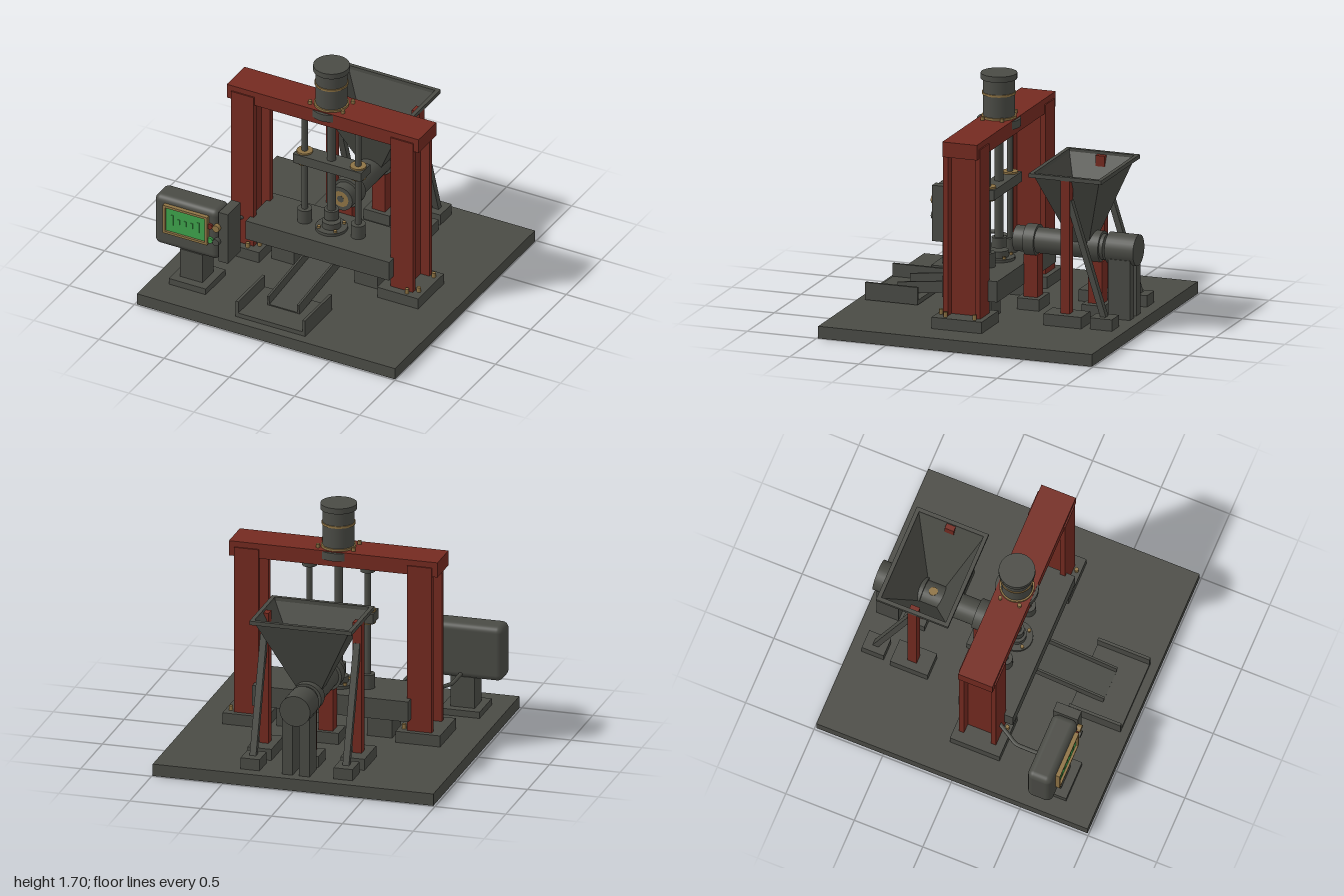
import * as THREE from 'three';
import { RoundedBoxGeometry } from 'three/addons/geometries/RoundedBoxGeometry.js';

const mat = (name, color, side = THREE.FrontSide) =>
  Object.assign(new THREE.MeshStandardMaterial({ color, side }), { name });

export function createModel() {
  const steel = mat('steel grey', 0x4a4b45);
  steel.side = THREE.DoubleSide;
  const red = mat('oxide red', 0x742a20);
  const brass = mat('brass', 0x8e7344);
  const green = mat('screen green', 0x3da04a);

  const root = new THREE.Group();
  root.name = 'pressMachine';
  const CX = 0.006; // centre line of the machine
  const PZ = 0.065; // depth of the press axis

  const add = (name, geo, m, x = 0, y = 0, z = 0) => {
    const mesh = new THREE.Mesh(geo, m);
    mesh.name = name;
    mesh.position.set(x, y, z);
    root.add(mesh);
    return mesh;
  };
  // Box given by its limits
  const box = (name, m, x0, x1, y0, y1, z0, z1) =>
    add(name, new THREE.BoxGeometry(x1 - x0, y1 - y0, z1 - z0), m, (x0 + x1) / 2, (y0 + y1) / 2, (z0 + z1) / 2);
  // Upright cylinder from y0 to y1
  const post = (name, m, r, x, y0, y1, z, sides = 32) =>
    add(name, new THREE.CylinderGeometry(r, r, y1 - y0, sides), m, x, (y0 + y1) / 2, z);
  // Cylinder lying along z
  const roll = (name, m, r, x, y, z0, z1, sides = 32) =>
    add(name, new THREE.CylinderGeometry(r, r, z1 - z0, sides).rotateX(Math.PI / 2), m, x, y, (z0 + z1) / 2);
  // Rectangular frame, extruded along z
  const frameGeo = (w, h, t, depth) => {
    const rect = (S, a, b) => new S([[-a, -b], [a, -b], [a, b], [-a, b]].map(p => new THREE.Vector2(...p)));
    const s = rect(THREE.Shape, w / 2, h / 2);
    s.holes.push(rect(THREE.Path, w / 2 - t, h / 2 - t));
    return new THREE.ExtrudeGeometry(s, { depth, bevelEnabled: false });
  };

  box('basePlate', steel, -0.985, 0.995, 0, 0.085, -0.99, 0.99);

  // Portal frame: two I-section columns and a cross beam
  for (const s of [-1, 1]) {
    const x = CX + s * 0.611;
    box('columnFoot', steel, x - 0.157, x + 0.157, 0.085, 0.165, -0.107, 0.255);
    box('columnFrontFlange', red, x - 0.087, x + 0.087, 0.165, 1.35, 0.163, 0.2);
    box('columnBackFlange', red, x - 0.087, x + 0.087, 0.165, 1.35, -0.07, -0.033);
    box('columnWeb', red, x - 0.02, x + 0.02, 0.165, 1.3, -0.033, 0.163);
    for (const [dx, z] of [[0.055, 0.225], [0.117, 0.17], [0.117, -0.04]])
      post('footBolt', brass, 0.015, x + dx, 0.165, 0.2, z, 6);
  }
  box('crossBeam', red, -0.73, 0.742, 1.285, 1.39, -0.06, 0.19);

  // Press motor
  post('motorFlange', steel, 0.148, CX, 1.33, 1.385, PZ);
  post('motorBody', steel, 0.108, CX, 1.385, 1.66, PZ);
  post('motorCap', steel, 0.124, CX, 1.66, 1.7, PZ);
  post('motorLowerRing', brass, 0.119, CX, 1.39, 1.405, PZ);
  post('motorUpperRing', brass, 0.115, CX, 1.553, 1.568, PZ);
  for (const sx of [-1, 1]) for (const sz of [-1, 1])
    post('motorBolt', brass, 0.014, CX + sx * 0.126, 1.39, 1.415, PZ + sz * 0.07, 8);

  // Ram, guide rods and crosshead
  post('ramNut', brass, 0.06, CX, 1.265, 1.285, PZ);
  post('ramRod', steel, 0.03, CX, 0.55, 1.28, PZ);
  box('crosshead', steel, CX - 0.262, CX + 0.262, 0.875, 0.945, PZ - 0.065, PZ + 0.065);
  for (const s of [-1, 1]) {
    const x = CX + s * 0.205;
    post('guideRod', steel, 0.021, x, 0.395, 1.285, PZ);
    post('guideTopCollar', steel, 0.05, x, 1.23, 1.285, PZ);
    post('guideBottomCollar', steel, 0.05, x, 0.395, 0.495, PZ);
    post('bushingTop', brass, 0.055, x, 0.945, 0.958, PZ);
    post('bushingBottom', brass, 0.055, x, 0.862, 0.875, PZ);
  }
  post('punch', steel, 0.05, CX, 0.48, 0.55, PZ);

  // Press table and die
  box('table', steel, -0.545, 0.555, 0.25, 0.395, -0.135, 0.263);
  for (const s of [-1, 1]) {
    const x = CX + s * 0.32;
    box('tableLeg', steel, x - 0.088, x + 0.088, 0.085, 0.25, PZ - 0.1, PZ + 0.1);
  }
  post('dieBase', steel, 0.11, CX, 0.395, 0.415, PZ);
  post('dieRing', steel, 0.065, CX, 0.415, 0.46, PZ);
  for (let i = 0; i < 4; i++) {
    const a = Math.PI / 4 + i * Math.PI / 2;
    post('dieBolt', brass, 0.013, CX + Math.cos(a) * 0.09, 0.415, 0.43, PZ + Math.sin(a) * 0.09, 8);
  }

  // Discharge chute: a sloping channel
  const chute = new THREE.Group();
  chute.name = 'chute';
  for (const [w, h, x, y] of [[0.245, 0.015, 0, 0.0075], [0.015, 0.08, -0.115, 0.04], [0.015, 0.08, 0.115, 0.04]]) {
    const part = new THREE.Mesh(new THREE.BoxGeometry(w, h, 0.65), steel);
    part.name = 'chutePlate';
    part.position.set(x, y, 0);
    chute.add(part);
  }
  chute.position.set(CX, 0.153, 0.42);
  chute.rotation.x = 0.115;
  root.add(chute);

  // Collecting tray
  box('trayFloor', steel, -0.26, 0.272, 0.09, 0.122, 0.55, 0.93);
  box('trayLeftWall', steel, 0.252, 0.272, 0.122, 0.212, 0.55, 0.93);
  box('trayRightWall', steel, -0.26, -0.24, 0.122, 0.212, 0.55, 0.93);

  // Control cabinet on its pedestal
  box('pedestalFoot', steel, -0.855, -0.572, 0.085, 0.13, 0.5, 0.78);
  box('pedestal', steel, -0.802, -0.63, 0.13, 0.35, 0.56, 0.72);
  add('controlCabinet', new RoundedBoxGeometry(0.495, 0.39, 0.18, 5, 0.045), steel, -0.7525, 0.535, 0.638);
  box('cabinetSidePanel', steel, -0.505, -0.435, 0.34, 0.73, 0.54, 0.72);
  box('screen', green, -0.905, -0.585, 0.475, 0.675, 0.725, 0.742);
  add('screenFrame', frameGeo(0.34, 0.22, 0.017, 0.03), brass, -0.745, 0.575, 0.728);
  for (let i = -2; i <= 2; i++) {
    const h = Math.abs(i) === 2 ? 0.04 : 0.02, x = -0.749 + i * 0.05;
    box('screenBar', green, x - 0.008, x + 0.008, 0.575 - h, 0.575 + h, 0.742, 0.747);
  }
  roll('redButton', red, 0.02, -0.562, 0.61, 0.715, 0.745, 20);
  roll('brassButton', brass, 0.026, -0.513, 0.61, 0.715, 0.75, 20);
  roll('greenButton', green, 0.022, -0.562, 0.5, 0.715, 0.745, 20);
  roll('greyButton', steel, 0.025, -0.513, 0.5, 0.715, 0.75, 20);
  const path = new THREE.CatmullRomCurve3([[-0.705, 0.56], [-0.705, 0.42], [-0.7, 0.35], [-0.66, 0.28], [-0.6, 0.18]]
    .map(([x, z]) => new THREE.Vector3(x, 0.37, z)));
  add('cable', new THREE.TubeGeometry(path, 24, 0.014, 10), steel);

  // Extruder barrel with clamps and stands
  const by = 0.555;
  roll('barrel', steel, 0.089, CX, by, -0.715, -0.065);
  add('nozzleRing', new THREE.RingGeometry(0.025, 0.06, 32), brass, CX, by, -0.062);
  roll('nozzleHole', steel, 0.025, CX, by, -0.07, -0.06, 24);
  for (const [z, foot] of [[-0.183, 0.08], [-0.65, 0.08]]) {
    roll('barrelClamp', steel, 0.108, CX, by, z - 0.04, z + 0.04);
    box('barrelStand', red, CX - 0.05, CX + 0.05, 0.165, 0.46, z - 0.05, z + 0.05);
    box('barrelStandFoot', steel, CX - 0.1, CX + 0.1, 0.085, 0.165, z - foot, z + foot);
  }
  post('feedScrew', brass, 0.03, CX, 0.64, 0.648, -0.545, 20);

  // Extruder drive
  roll('driveCoupling', brass, 0.04, CX, by, -0.75, -0.71);
  roll('driveMotor', steel, 0.108, CX, by, -0.945, -0.738);
  for (const s of [-1, 1])
    box('driveLeg', steel, CX + s * 0.06 - 0.037, CX + s * 0.06 + 0.037, 0.085, 0.5, -0.92, -0.76);

  // Hopper: four-sided funnel whose section shrinks downward
  const hz = -0.552;
  let funnel = new THREE.CylinderGeometry(1, 1, 0.53, 4, 1, true).rotateY(Math.PI / 4).toNonIndexed();
  const p = funnel.attributes.position;
  for (let i = 0; i < p.count; i++) {
    const top = p.getY(i) > 0;
    p.setX(i, Math.sign(p.getX(i)) * (top ? 0.338 : 0.075));
    p.setZ(i, Math.sign(p.getZ(i)) * (top ? 0.24 : 0.06));
  }
  funnel.computeVertexNormals();
  add('hopper', funnel, steel, CX, 0.845, hz);
  add('hopperRim', frameGeo(0.722, 0.525, 0.028, 0.028).rotateX(-Math.PI / 2), steel, CX, 1.092, hz);

  // Hopper legs and rear braces
  for (const s of [-1, 1]) {
    const x = CX + s * 0.328;
    box('hopperLeg', red, x - 0.032, x + 0.032, 0.165, 1.1, hz - 0.033, hz + 0.033);
    box('hopperLegFoot', steel, x - 0.085, x + 0.085, 0.085, 0.165, -0.69, -0.417);
    box('braceFoot', steel, x - 0.067, x + 0.067, 0.085, 0.165, -0.905, -0.745);
    const a = new THREE.Vector3(x, 0.16, -0.825), b = new THREE.Vector3(x, 0.95, -0.575);
    const brace = add('rearBrace', new THREE.BoxGeometry(0.045, a.distanceTo(b), 0.04), steel);
    brace.position.copy(a).lerp(b, 0.5);
    brace.rotation.x = Math.atan2(b.z - a.z, b.y - a.y);
  }

  return root;
}
